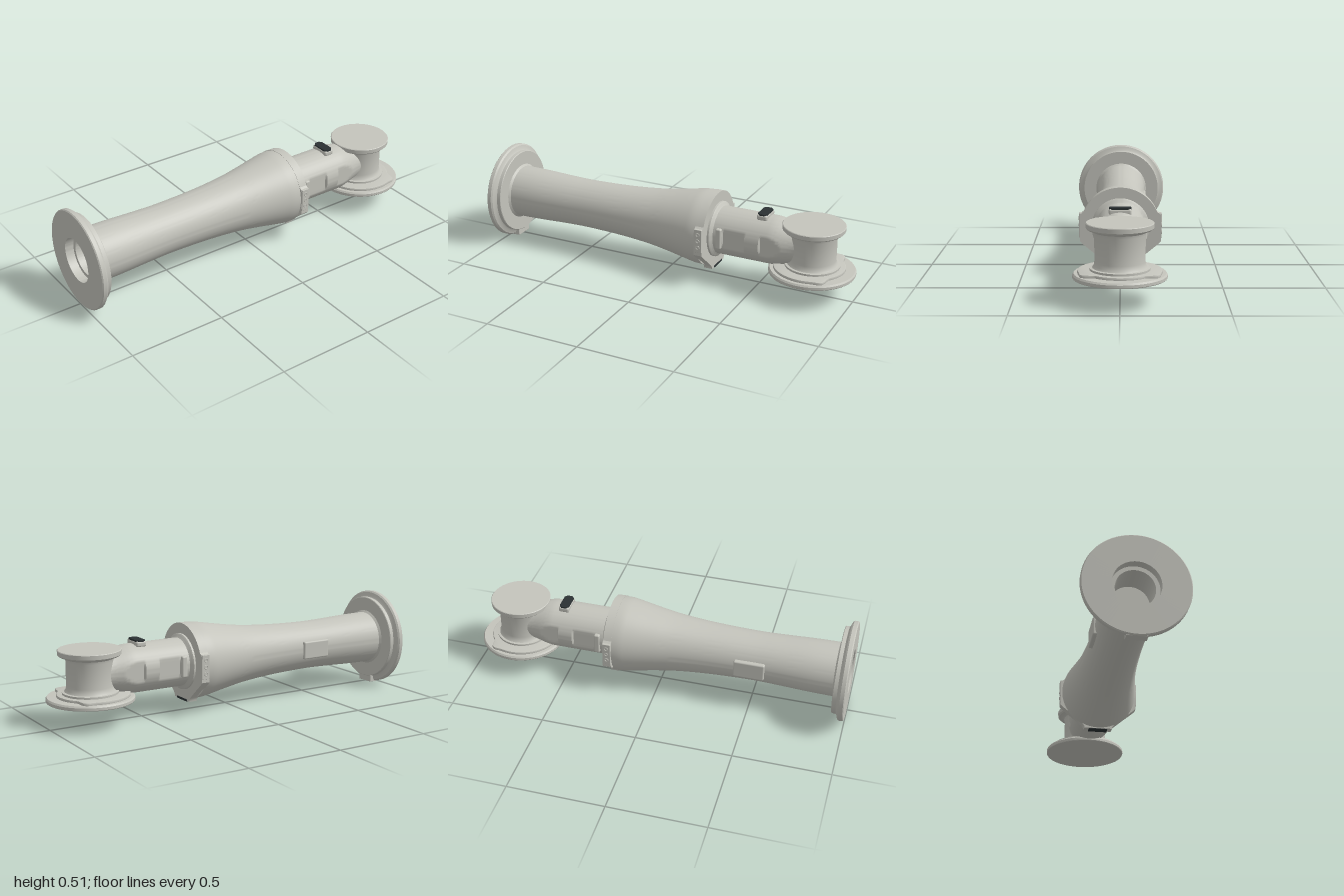
import * as THREE from 'three';
import { toCreasedNormals } from 'three/addons/utils/BufferGeometryUtils.js';
import { RoundedBoxGeometry } from 'three/addons/geometries/RoundedBoxGeometry.js';

const AXIS = 0.257; // height of the arm's long axis
const v2 = ([x, y]) => new THREE.Vector2(x, y);

export function createModel() {
  const model = new THREE.Group();
  const grey = new THREE.MeshStandardMaterial({ color: 0xc4c4bc });
  grey.name = 'light grey';
  const dark = new THREE.MeshStandardMaterial({ color: 0x2b3133 });
  dark.name = 'dark slate';

  const add = (name, geometry, material = grey, x = 0, y = 0, z = 0) => {
    const mesh = new THREE.Mesh(geometry, material);
    mesh.name = name;
    mesh.position.set(x, y, z);
    model.add(mesh);
    return mesh;
  };
  // profile entries are [radius, distance along the axis]
  const lathe = (points, segments = 72) => new THREE.LatheGeometry(points.map(v2), segments);
  const crease = (g, angle = 0.5) => toCreasedNormals(g, angle);
  const pad = (name, w, h, d, x, y, z, r = 0.008, material = grey) =>
    add(name, new RoundedBoxGeometry(w, h, d, 3, r), material, x, y, z);

  // Flange with stepped bore, running into the waisted arm
  const sweep = new THREE.SplineCurve([
    [0.14, -0.925], [0.138, -0.8], [0.131, -0.62], [0.129, -0.48], [0.136, -0.27],
    [0.15, -0.1], [0.168, 0.02], [0.188, 0.13], [0.196, 0.18], [0.197, 0.225],
  ].map(v2)).getPoints(48).map((p) => [p.x, p.y]);
  const arm = lathe([
    [0, -0.8], [0.095, -0.8], [0.095, -0.955], [0.115, -0.955], [0.115, -1],
    [0.252, -1], [0.257, -0.995], [0.257, -0.976], [0.25, -0.968], [0.232, -0.962],
    [0.225, -0.957], [0.225, -0.938], [0.222, -0.935], [0.15, -0.935], ...sweep, [0, 0.225],
  ], 96);
  add('armTube', crease(arm.rotateZ(-Math.PI / 2)), grey, 0, AXIS);
  pad('flangeKey', 0.045, 0.035, 0.1, -0.967, 0.0175, 0, 0.002);
  pad('rearCover', 0.16, 0.095, 0.04, -0.495, AXIS, -0.121);

  // Collar: round on top, flats at the sides, a foot at the bottom
  const outline = [];
  for (let i = 0; i <= 32; i++) {
    const a = THREE.MathUtils.lerp(0.39, Math.PI - 0.39, i / 32);
    outline.push([0.199 * Math.cos(a), 0.199 * Math.sin(a)]);
  }
  const lower = [[0.205, 0.06], [0.205, -0.075], [0.19, -0.09], [0.135, -0.135],
    [0.085, -0.178], [0.076, -0.19], [0.074, -0.201]];
  outline.push(...lower.map(([x, y]) => [-x, y]), ...lower.reverse());
  const collar = new THREE.ExtrudeGeometry(new THREE.Shape(outline.map(v2)),
    { depth: 0.044, bevelEnabled: false });
  add('collar', crease(collar.rotateY(Math.PI / 2)), grey, 0.218, AXIS);
  pad('collarFootPlate', 0.042, 0.012, 0.1, 0.243, 0.058, 0, 0.002, dark);

  // Screw plates on both sides of the collar
  for (const side of [1, -1]) {
    pad('screwPlate', 0.042, 0.125, 0.02, 0.24, 0.262, side * 0.198, 0.002);
    for (const dy of [-0.035, 0, 0.035]) {
      add('screwRing', new THREE.TorusGeometry(0.009, 0.0025, 6, 20), grey, 0.24, 0.262 + dy, side * 0.208);
    }
  }

  // Wrist tube: lathe with shallow flats pressed into its sides
  const wristProfile = [[0.145, 0.25], [0.145, 0.272], [0.137, 0.279], [0.126, 0.284]];
  for (let i = 0; i <= 60; i++) {
    const x = 0.285 + i * 0.0075;
    const t = THREE.MathUtils.smoothstep(x, 0.57, 0.73);
    wristProfile.push([0.125 - 0.027 * t, x]);
  }
  const wrist = lathe(wristProfile, 96).rotateZ(-Math.PI / 2);
  const p = wrist.attributes.position;
  for (let i = 0; i < p.count; i++) {
    const x = p.getX(i);
    const z = p.getZ(i);
    const pressed = (x > 0.335 && x < 0.45) || (x > 0.54 && x < 0.66);
    if (pressed && Math.abs(z) > 0.113) p.setZ(i, Math.sign(z) * 0.113);
  }
  add('wristTube', crease(wrist, 0.6), grey, 0, AXIS);
  for (const side of [1, -1]) pad('wristRib', 0.03, 0.11, 0.03, 0.317, AXIS, side * 0.117);

  // Button on top of the wrist
  pad('buttonBase', 0.056, 0.03, 0.11, 0.52, 0.383, 0, 0.01);
  const button = new THREE.Shape([[-0.025, -0.04], [-0.013, -0.053], [0.013, -0.053], [0.025, -0.04],
    [0.025, 0.04], [0.013, 0.053], [-0.013, 0.053], [-0.025, 0.04]].map(v2));
  add('buttonTop', new THREE.ExtrudeGeometry(button, { depth: 0.008, bevelEnabled: false })
    .rotateX(-Math.PI / 2), dark, 0.52, 0.395);

  // Upright elbow drum with top cap and broad lower flange
  add('elbowDrum', crease(lathe([
    [0, 0.122], [0.218, 0.122], [0.22, 0.125], [0.22, 0.138], [0.214, 0.146],
    [0.14, 0.148], [0.14, 0.17], [0.128, 0.172], [0.121, 0.182], [0.118, 0.2],
    [0.118, 0.325], [0.122, 0.338], [0.132, 0.346], [0.15, 0.35], [0.157, 0.357],
    [0.158, 0.378], [0.155, 0.381], [0, 0.381],
  ])), grey, 0.78);

  // Wavy raised ridge on the lower flange, narrower towards the tip
  const ridge = [];
  for (let i = 0; i < 96; i++) {
    const a = (i / 96) * Math.PI * 2;
    const off = Math.abs(Math.atan2(Math.sin(a), Math.cos(a)));
    const r = 0.168 + 0.029 * THREE.MathUtils.smoothstep(off, 0.7, 1.0)
      + 0.012 * Math.exp(-(((off - 1.05) / 0.13) ** 2));
    ridge.push(new THREE.Vector2(r * Math.cos(a), r * Math.sin(a)));
  }
  const ridgeGeo = new THREE.ExtrudeGeometry(new THREE.Shape(ridge),
    { depth: 0.012, bevelThickness: 0.004, bevelSize: 0.004, bevelOffset: -0.004, bevelSegments: 2 });
  add('flangeRidge', crease(ridgeGeo.rotateX(-Math.PI / 2)), grey, 0.78, 0.144);

  return model;
}
